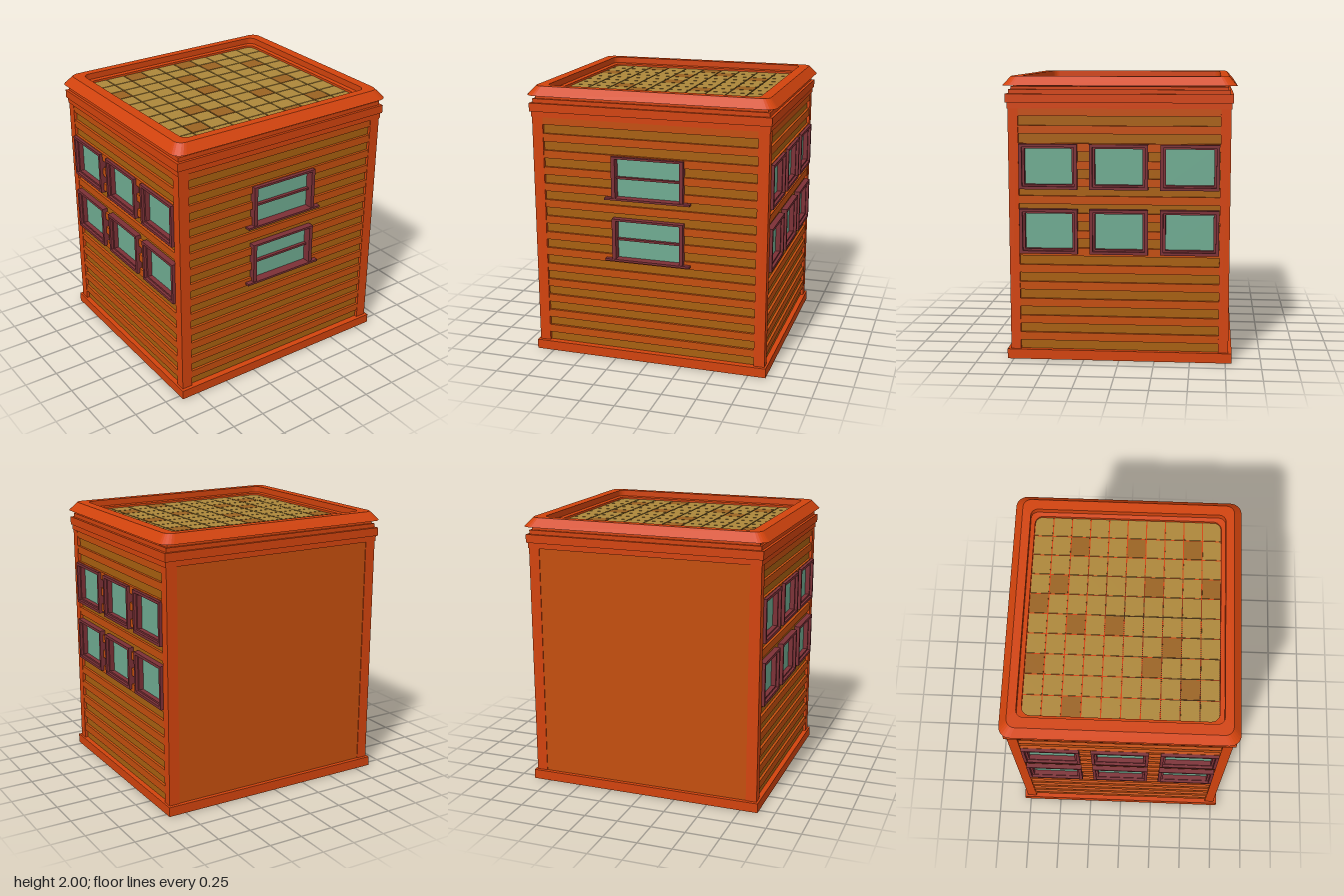
import * as THREE from 'three';

const mat = (color, opts = {}) => new THREE.MeshStandardMaterial({ color, ...opts });
const M = {
  trim: mat(0xd2430d), board: mat(0xc44e0d), groove: mat(0xa8600f), frame: mat(0x7c3036),
  glass: mat(0x6fab91), tile: mat(0xad873a), darkTile: mat(0x9a6322), grout: mat(0x4a2a10),
};
M.eave = mat(0xd2430d, { flatShading: true });

// Box given by its low and high corners
function block(parent, name, material, [x0, y0, z0], [x1, y1, z1]) {
  const mesh = new THREE.Mesh(new THREE.BoxGeometry(x1 - x0, y1 - y0, z1 - z0), material);
  mesh.position.set((x0 + x1) / 2, (y0 + y1) / 2, (z0 + z1) / 2);
  mesh.name = name;
  parent.add(mesh);
}

function rect(Type, x0, y0, x1, y1) {
  const p = new Type();
  p.moveTo(x0, y0).lineTo(x1, y0).lineTo(x1, y1).lineTo(x0, y1).closePath();
  return p;
}

// Rectangular border from depth z0 to z1; bx and by are the border widths
function border(parent, name, [x0, y0, x1, y1], bx, by, z0, z1) {
  const shape = rect(THREE.Shape, x0, y0, x1, y1);
  shape.holes.push(rect(THREE.Path, x0 + bx, y0 + by, x1 - bx, y1 - by));
  const mesh = new THREE.Mesh(
    new THREE.ExtrudeGeometry(shape, { depth: z1 - z0, bevelEnabled: false }), M.frame);
  mesh.position.z = z0;
  mesh.name = name;
  parent.add(mesh);
}

// Wall strip across the whole width, interrupted by the windows it meets
function strip(parent, name, material, half, y0, y1, z0, z1, windows) {
  const cuts = windows.flatMap((w) => [w[1], w[3]]).filter((y) => y > y0 && y < y1);
  const ys = [...new Set([y0, ...cuts, y1])].sort((a, b) => a - b);
  for (let i = 0; i + 1 < ys.length; i++) {
    const mid = (ys[i] + ys[i + 1]) / 2;
    let x = -half;
    for (const w of windows.filter((v) => mid > v[1] && mid < v[3])) {
      if (w[0] - x > 0.002) block(parent, name, material, [x, ys[i], z0], [w[0], ys[i + 1], z1]);
      x = w[2];
    }
    if (half - x > 0.002) block(parent, name, material, [x, ys[i], z0], [half, ys[i + 1], z1]);
  }
}

const FLOORS = [0.765, 1.22], WIN_H = 0.315, BASE = 0.07, TOP = 1.79, PITCH = 0.1225;

// Boarded wall facing +z with its outer face at depth d
function boardedWall(name, half, d, windows) {
  const wall = new THREE.Group();
  wall.name = name;
  strip(wall, 'wallGroove', M.groove, half, BASE, TOP, d - 0.06, d - 0.022, windows);
  for (let k = 0; k < 14; k++) {
    const y = BASE + k * PITCH;
    strip(wall, 'wallBoard', M.board, half, y + 0.065, Math.min(y + PITCH, TOP), d - 0.05, d - 0.003, windows);
  }
  return wall;
}

function frontWall() {
  const d = 0.77;
  const wins = FLOORS.map((y) => [-0.265, y, 0.265, y + WIN_H]);
  const wall = boardedWall('frontWall', 0.785, d, wins);
  for (const [x0, y0, x1, y1] of wins) {
    border(wall, 'sashWindowFrame', [x0, y0, x1, y1], 0.028, 0.015, d - 0.07, d + 0.025);
    block(wall, 'windowBar', M.frame, [x0, y0 + 0.148, d - 0.05], [x1, y0 + 0.163, d - 0.01]);
    block(wall, 'windowSill', M.frame, [x0 - 0.05, y0, d - 0.01], [x1 + 0.05, y0 + 0.015, d + 0.032]);
    block(wall, 'windowGlass', M.glass, [x0, y0, d - 0.065], [x1, y1 - 0.005, d - 0.035]);
  }
  return wall;
}

function sideWall(name) {
  const d = 0.865;
  const wins = FLOORS.flatMap((y) =>
    [-0.492, 0, 0.492].map((c) => [c - 0.204, y, c + 0.204, y + WIN_H]));
  const wall = boardedWall(name, 0.7, d, wins);
  for (const [x0, y0, x1, y1] of wins) {
    border(wall, 'windowOuterFrame', [x0, y0, x1, y1], 0.022, 0.02, d - 0.06, d + 0.02);
    border(wall, 'windowInnerFrame', [x0 + 0.02, y0 + 0.018, x1 - 0.02, y1 - 0.018], 0.018, 0.014, d - 0.06, d);
    block(wall, 'windowGlass', M.glass, [x0 + 0.01, y0 + 0.01, d - 0.064], [x1 - 0.01, y1 - 0.01, d - 0.035]);
  }
  return wall;
}

// Rounded rectangle loop, running counter-clockwise seen from above
function loop(hx, hz, r, y) {
  const pts = [], n = 6;
  [[1, -1], [-1, -1], [-1, 1], [1, 1]].forEach(([sx, sz], q) => {
    for (let i = 0; i <= n; i++) {
      const a = (q + i / n) * Math.PI / 2;
      pts.push([sx * (hx - r) + r * Math.cos(a), y, sz * (hz - r) - r * Math.sin(a)]);
    }
  });
  return pts;
}

// Sloped roof rim lofted through rounded rectangles
function roofRim() {
  const loops = [
    [0.74, 0.66, 0.05, 1.92], [0.84, 0.745, 0.05, 1.935], [0.905, 0.81, 0.08, 1.937],
    [0.85, 0.755, 0.06, 2], [0.775, 0.695, 0.05, 2], [0.775, 0.695, 0.05, 1.955],
    [0.745, 0.665, 0.06, 1.95], [0.745, 0.665, 0.06, 1.925],
  ].map((p) => loop(...p));
  const n = loops[0].length, index = [];
  for (let j = 0; j + 1 < loops.length; j++) {
    for (let i = 0; i < n; i++) {
      const a = j * n + i, b = j * n + (i + 1) % n;
      index.push(a, b, b + n, a, b + n, a + n);
    }
  }
  const geo = new THREE.BufferGeometry();
  geo.setAttribute('position', new THREE.Float32BufferAttribute(loops.flat(2), 3));
  geo.setIndex(index);
  geo.computeVertexNormals();
  const mesh = new THREE.Mesh(geo, M.eave);
  mesh.name = 'roofRim';
  return mesh;
}

// Tiled roof floor; each string lists the darker columns of a row, back to front
function roofTiles() {
  const group = new THREE.Group();
  group.name = 'roofTiles';
  block(group, 'tileBed', M.grout, [-0.75, 1.9, -0.67], [0.75, 1.93, 0.67]);
  const px = 0.149, pz = 0.133, gap = 0.004;
  ['25', '6', '048', '', '4', '8', '26', '3', '18', '6'].forEach((dark, row) => {
    for (let col = 0; col < 10; col++) {
      const x = -0.745 + col * px, z = -0.665 + row * pz;
      block(group, 'tile', dark.includes(col) ? M.darkTile : M.tile,
        [x + gap, 1.92, z + gap], [x + px - gap, 1.936, z + pz - gap]);
    }
  });
  return group;
}

export function createModel() {
  const model = new THREE.Group();
  model.name = 'building';

  // Core, base and corner posts
  block(model, 'core', M.board, [-0.8, 0.03, -0.755], [0.8, 1.9, 0.705]);
  block(model, 'basePlinth', M.trim, [-0.88, 0, -0.795], [0.88, BASE, 0.795]);
  for (const sx of [-1, 1]) {
    for (const sz of [-1, 1]) {
      const x = sx * 0.825, z = sz * 0.735;
      block(model, 'cornerPost', M.trim, [x - 0.04, BASE, z - 0.035], [x + 0.04, TOP, z + 0.035]);
    }
  }

  // Walls
  const left = sideWall('leftWall'), right = sideWall('rightWall');
  left.rotation.y = Math.PI / 2;
  right.rotation.y = -Math.PI / 2;
  model.add(frontWall(), left, right);
  block(model, 'backWall', M.board, [-0.785, BASE, -0.765], [0.785, TOP, -0.72]);

  // Stepped cornice
  for (const [hx, hz, y0, y1] of [
    [0.87, 0.775, 1.78, 1.82], [0.88, 0.785, 1.82, 1.88],
    [0.86, 0.765, 1.88, 1.91], [0.845, 0.75, 1.91, 1.93],
  ]) block(model, 'cornice', M.trim, [-hx, y0, -hz], [hx, y1, hz]);

  // Roof
  model.add(roofRim(), roofTiles());
  return model;
}
